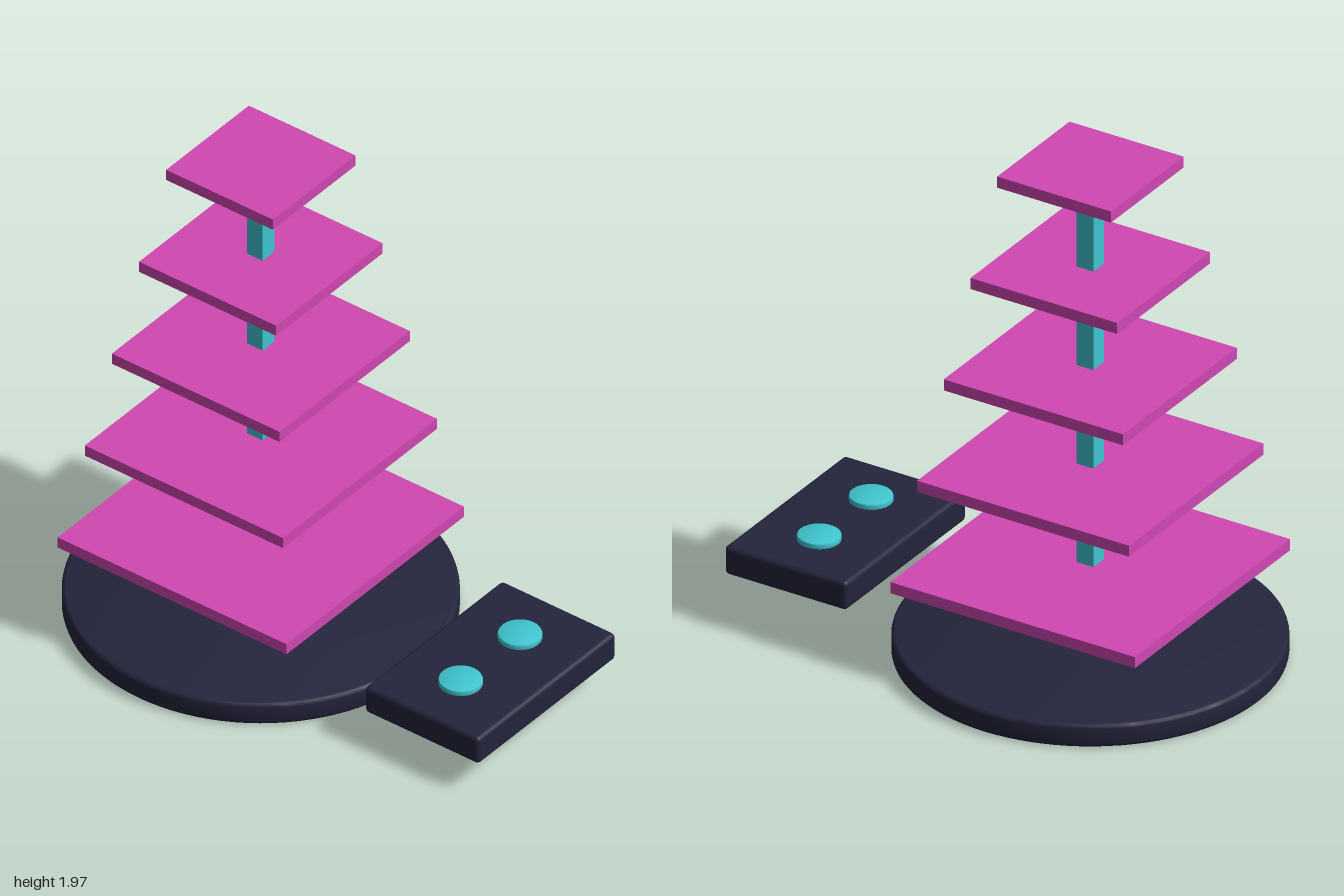
import * as THREE from 'three';
import { RoundedBoxGeometry } from 'three/addons/geometries/RoundedBoxGeometry.js';
import { toCreasedNormals } from 'three/addons/utils/BufferGeometryUtils.js';

const material = (name, color) => {
  const m = new THREE.MeshStandardMaterial({ color });
  m.name = name;
  return m;
};

// Solid disc standing on y = 0, with a small rounded rim at top and bottom
function discGeometry(radius, height, bevel, sides, steps) {
  const points = [new THREE.Vector2(0, 0)];
  for (let end = 0; end < 2; end++) {
    for (let i = 0; i <= steps; i++) {
      const a = -Math.PI / 2 + (end + i / steps) * Math.PI / 2;
      const cy = end ? height - bevel : bevel;
      points.push(new THREE.Vector2(radius - bevel + bevel * Math.cos(a), cy + bevel * Math.sin(a)));
    }
  }
  points.push(new THREE.Vector2(0, height));
  return toCreasedNormals(new THREE.LatheGeometry(points, sides), 0.6);
}

export function createModel() {
  const model = new THREE.Group();
  model.name = 'tieredTower';
  const navy = material('dark navy', 0x24243c);
  const magenta = material('magenta', 0xd048b2);
  const teal = material('teal', 0x3fc5d0);

  const add = (name, geometry, mat, x, y, z) => {
    const mesh = new THREE.Mesh(geometry, mat);
    mesh.name = name;
    mesh.position.set(x, y, z);
    model.add(mesh);
  };

  const towerZ = -0.29;

  // Round base and central post
  add('base', discGeometry(0.708, 0.09, 0.015, 96, 3), navy, 0, 0, towerZ);
  add('post', new THREE.BoxGeometry(0.07, 1.83, 0.07), teal, 0, 1.035, towerZ);

  // Five square tiers, shrinking upwards
  for (let i = 0; i < 5; i++) {
    const width = 1.03 - i * 0.1375;
    add(`tier${i + 1}`, new THREE.BoxGeometry(width, 0.045, width), magenta, 0, 0.348 + i * 0.4, towerZ);
  }

  // Control box in front, with two round buttons
  add('controlBox', new RoundedBoxGeometry(0.8, 0.115, 0.515, 3, 0.018), navy, 0, 0.177, 0.7425);
  for (const side of [-1, 1]) {
    add(side > 0 ? 'leftButton' : 'rightButton',
      discGeometry(0.08, 0.035, 0.006, 24, 2), teal, side * 0.172, 0.22, 0.743);
  }

  return model;
}
